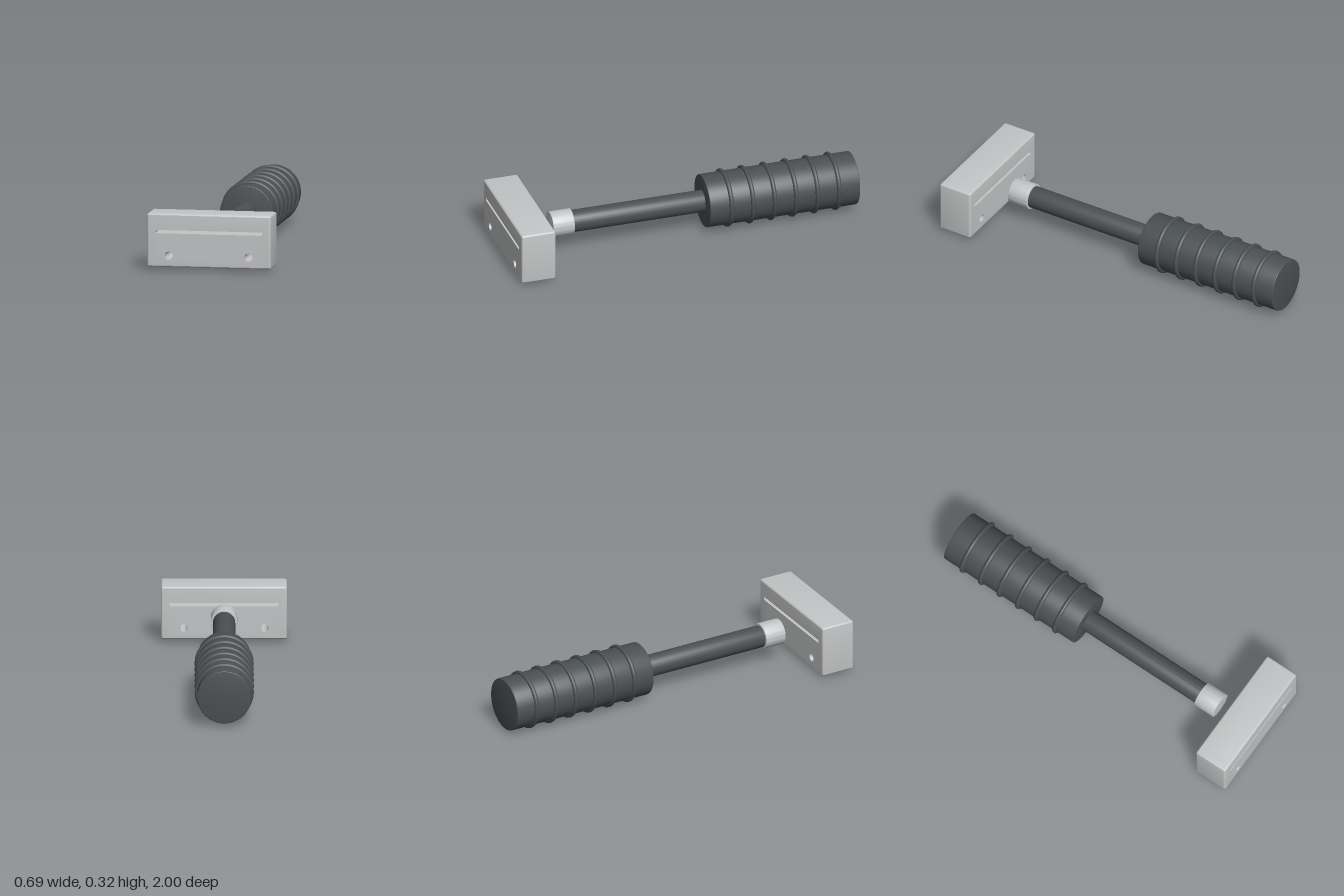
import * as THREE from 'three';
import { mergeGeometries, toCreasedNormals } from 'three/addons/utils/BufferGeometryUtils.js';

const AXIS_Y = 0.161;
const metal = new THREE.MeshStandardMaterial({ color: 0xc4c5c6 });
metal.name = 'light metal';
const rubber = new THREE.MeshStandardMaterial({ color: 0x4b5053 });
rubber.name = 'dark rubber';

function addMesh(parent, name, geometry, material) {
  const mesh = new THREE.Mesh(geometry, material);
  mesh.name = name;
  parent.add(mesh);
  return mesh;
}

// Closed round bar along z with slightly rounded rims
function bar(radius, z0, z1, bevel) {
  const pts = [new THREE.Vector2(0, z0)];
  for (let i = 0; i <= 4; i++) {
    const a = (i / 4) * Math.PI / 2;
    pts.push(new THREE.Vector2(radius - bevel + bevel * Math.sin(a), z0 + bevel - bevel * Math.cos(a)));
  }
  for (let i = 0; i <= 4; i++) {
    const a = (i / 4) * Math.PI / 2;
    pts.push(new THREE.Vector2(radius - bevel + bevel * Math.cos(a), z1 - bevel + bevel * Math.sin(a)));
  }
  pts.push(new THREE.Vector2(0, z1));
  return toCreasedNormals(new THREE.LatheGeometry(pts, 64).rotateX(Math.PI / 2), 0.3);
}

// Side walls through loops of points, each loop at its own z
function loft(loops) {
  const pos = [];
  const put = (p, z) => pos.push(p.x, p.y, z);
  for (let k = 0; k < loops.length - 1; k++) {
    const A = loops[k], B = loops[k + 1], n = A.pts.length;
    for (let i = 0; i < n; i++) {
      const j = (i + 1) % n;
      put(A.pts[i], A.z); put(A.pts[j], A.z); put(B.pts[j], B.z);
      put(A.pts[i], A.z); put(B.pts[j], B.z); put(B.pts[i], B.z);
    }
  }
  const g = new THREE.BufferGeometry();
  g.setAttribute('position', new THREE.Float32BufferAttribute(pos, 3));
  return g;
}

// Counter-clockwise rounded rectangle
function roundedRect(hw, hh, r) {
  const pts = [];
  [[1, 1], [-1, 1], [-1, -1], [1, -1]].forEach(([sx, sy], c) => {
    for (let i = 0; i <= 6; i++) {
      const a = (c + i / 6) * Math.PI / 2;
      pts.push(new THREE.Vector2(sx * (hw - r) + r * Math.cos(a), sy * (hh - r) + r * Math.sin(a)));
    }
  });
  return pts;
}

// Rounded block pierced by a slot and two round holes
function headGeometry() {
  const hw = 0.343, hh = 0.147, hd = 0.0975, b = 0.012, R = 0.0125;
  const loops = [];
  const rim = (inset, z) => loops.push({ pts: roundedRect(hw - inset, hh - inset, R - inset), z });
  for (let i = 0; i <= 6; i++) {
    const a = (i / 6) * Math.PI / 2;
    rim(b - b * Math.sin(a), -hd + b - b * Math.cos(a));
  }
  for (let i = 0; i <= 6; i++) {
    const a = (i / 6) * Math.PI / 2;
    rim(b - b * Math.cos(a), hd - b + b * Math.sin(a));
  }

  // Openings run clockwise so their walls face inwards
  const slot = [[-0.297, 0.039], [-0.297, 0.057], [0.297, 0.057], [0.297, 0.039]]
    .map(([x, y]) => new THREE.Vector2(x, y));
  const openings = [slot];
  for (const side of [-1, 1]) {
    const hole = [];
    for (let i = 0; i < 40; i++) {
      const a = -(i / 40) * Math.PI * 2;
      hole.push(new THREE.Vector2(side * 0.22 + 0.022 * Math.cos(a), -0.083 + 0.022 * Math.sin(a)));
    }
    openings.push(hole);
  }

  const face = new THREE.Shape(roundedRect(hw - b, hh - b, R - b));
  openings.forEach((pts) => face.holes.push(new THREE.Path(pts)));
  const makeFace = () => {
    const g = new THREE.ShapeGeometry(face).toNonIndexed();
    g.deleteAttribute('normal');
    g.deleteAttribute('uv');
    return g.translate(0, 0, hd);
  };
  const parts = [loft(loops), makeFace(), makeFace().rotateY(Math.PI)];
  openings.forEach((pts) => parts.push(loft([{ pts, z: -hd }, { pts, z: hd }])));
  return toCreasedNormals(mergeGeometries(parts), 0.2);
}

export function createModel() {
  const model = new THREE.Group();
  model.name = 'handTool';

  // Block-shaped head floating just ahead of the collar
  addMesh(model, 'head', headGeometry(), metal).position.set(0, 0.162, 0.9025);

  // Handle parts share one axis
  const handle = new THREE.Group();
  handle.name = 'handle';
  handle.position.y = AXIS_Y;
  model.add(handle);
  addMesh(handle, 'collar', bar(0.072, 0.608, 0.73, 0.003), metal);
  addMesh(handle, 'rod', bar(0.061, -0.2, 0.66, 0.002), rubber);
  addMesh(handle, 'grip', bar(0.147, -1, -0.143, 0.005), rubber);

  // Raised rings along the grip
  for (let i = 0; i < 6; i++) {
    const ring = addMesh(handle, 'gripRing', new THREE.TorusGeometry(0.1485, 0.0125, 16, 64), rubber);
    ring.position.z = -0.265 - i * 0.123;
  }
  return model;
}
